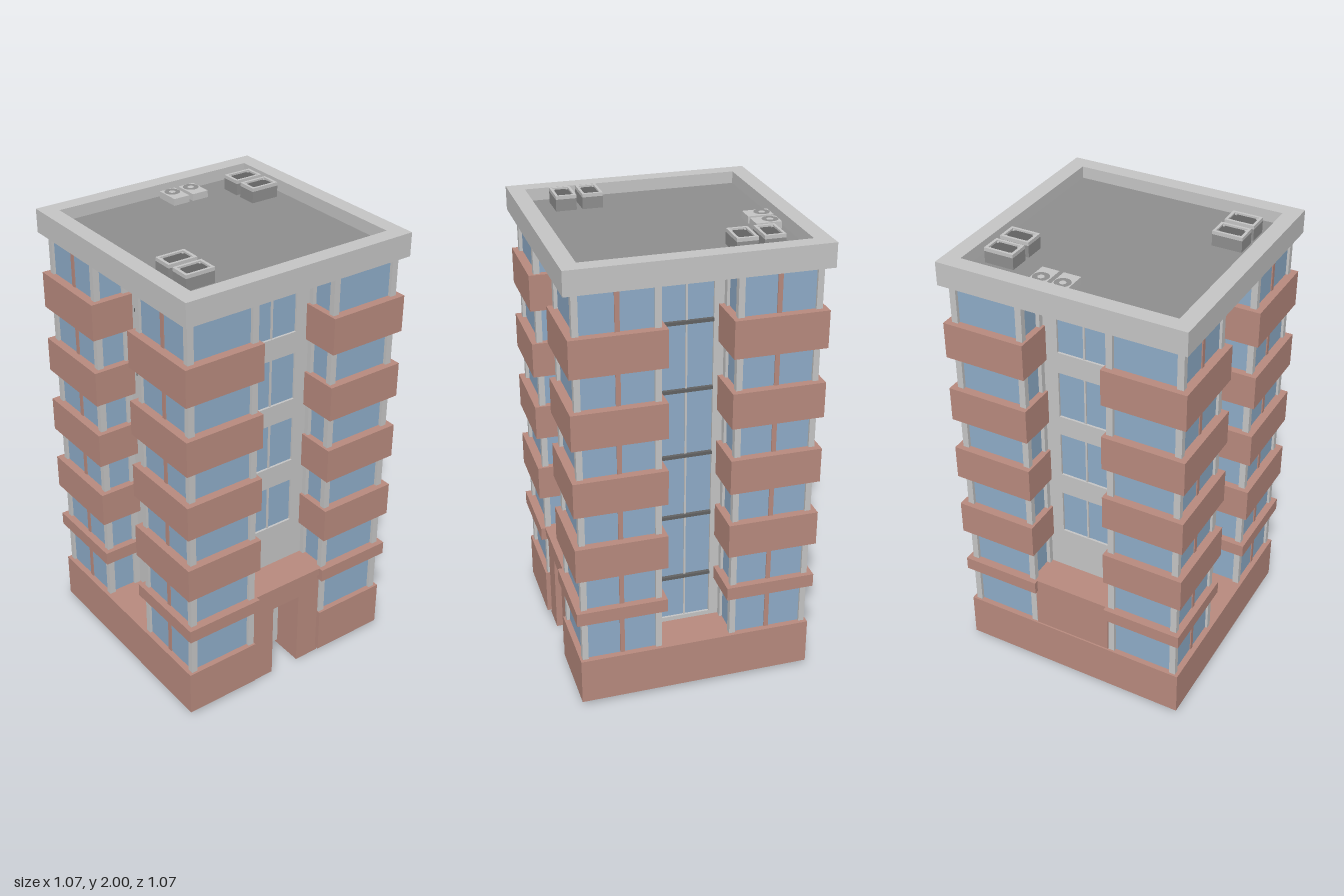
import * as THREE from 'three';

const mat = (name, color, side = THREE.FrontSide) => {
  const m = new THREE.MeshStandardMaterial({ color, side });
  m.name = name;
  return m;
};

export function createModel() {
  const concrete = mat('light concrete', 0xc6c6c6);
  const brick = mat('brick cladding', 0xb98b7f);
  const glass = mat('blue glass', 0x8fadc9, THREE.DoubleSide);
  const roofGrey = mat('roof grey', 0x8f8f8f);
  const dark = mat('dark metal', 0x636363);

  const model = new THREE.Group();
  model.name = 'apartmentBlock';
  const add = (name, geo, material, parent = model) => {
    const mesh = new THREE.Mesh(geo, material);
    mesh.name = name;
    parent.add(mesh);
    return mesh;
  };
  const group = (name) => {
    const g = new THREE.Group();
    g.name = name;
    model.add(g);
    return g;
  };
  // Box given by its limits, in any order
  const box = (name, x0, x1, y0, y1, z0, z1, material, parent) => {
    const geo = new THREE.BoxGeometry(Math.abs(x1 - x0), Math.abs(y1 - y0), Math.abs(z1 - z0));
    geo.translate((x0 + x1) / 2, (y0 + y1) / 2, (z0 + z1) / 2);
    return add(name, geo, material, parent);
  };
  const rect = (a0, a1, b0, b1, Type = THREE.Shape) =>
    new Type([[a0, b0], [a1, b0], [a1, b1], [a0, b1]].map(([a, b]) => new THREE.Vector2(a, b)));
  // Horizontal rectangular ring
  const ring = (name, outer, inner, y0, y1, material, parent) => {
    const shape = rect(...outer);
    shape.holes.push(rect(...inner, THREE.Path));
    const geo = new THREE.ExtrudeGeometry(shape, { depth: y1 - y0, bevelEnabled: false });
    geo.rotateX(Math.PI / 2).translate(0, y1, 0);
    return add(name, geo, material, parent);
  };

  // Corner towers: open glass shaft, posts and brick balcony bands
  const bands = [[0.42, 0.48], [0.64, 0.795], [0.945, 1.1], [1.245, 1.4], [1.55, 1.71]];
  const posts = [[0.495, 0.489], [0.197, 0.489], [0.495, 0.166], [0.197, 0.362], [0.362, 0.166]];
  for (const sx of [-1, 1]) for (const sz of [-1, 1]) {
    const tower = group('cornerTower');
    const limits = (x0, x1, z0, z1) => [sx * x0, sx * x1, sz * z0, sz * z1];
    ring('glassShaft', limits(0.2, 0.498, 0.165, 0.487), limits(0.204, 0.494, 0.169, 0.483),
      0.025, 1.89, glass, tower);
    for (const [x, z] of posts)
      box('post', sx * x - 0.014, sx * x + 0.014, 0.015, 1.89, sz * z - 0.013, sz * z + 0.013, concrete, tower);
    bands.forEach(([y0, y1], i) => {
      const out = i ? 0.535 : 0.53;
      ring('balconyBand', limits(0.172, out, 0.132, 0.525), limits(0.2, 0.494, 0.165, 0.483), y0, y1, brick, tower);
    });
  }

  // Full-width brick partitions that show as side mullions
  for (const s of [-1, 1]) box('partition', -0.503, 0.503, 0.025, 1.89, s * 0.315, s * 0.335, brick);

  // Recessed walls, built facing +z and turned into place
  const recess = (name, half, holes, distance, angle) => {
    const g = group(name);
    g.rotation.y = angle;
    const shape = rect(-half, half, 0.02, 1.89);
    for (const [w, y0, y1] of holes) {
      shape.holes.push(rect(-w, w, y0, y1, THREE.Path));
      box('windowGlass', -w, w, y0, y1, distance - 0.014, distance - 0.01, glass, g);
      box('windowMullion', -0.004, 0.004, y0, y1, distance - 0.012, distance - 0.004, concrete, g);
    }
    const geo = new THREE.ExtrudeGeometry(shape, { depth: 0.014, bevelEnabled: false });
    geo.translate(0, 0, distance - 0.014);
    add('recessWall', geo, concrete, g);
    return g;
  };
  const windows = [[0.68, 0.89], [0.99, 1.2], [1.29, 1.505], [1.6, 1.81]].map((w) => [0.12, ...w]);
  recess('frontRecess', 0.2, windows, 0.352, 0);
  recess('backRecess', 0.2, windows, 0.352, Math.PI);
  for (const s of [-1, 1]) {
    const g = recess('sideRecess', 0.17, [[0.112, 0.25, 1.845]], 0.345, s * Math.PI / 2);
    for (const y of [0.455, 0.76, 1.05, 1.35, 1.647])
      box('floorBar', -0.112, 0.112, y - 0.007, y + 0.007, 0.33, 0.35, dark, g);
  }
  box('coreWall', -0.01, 0.01, 0.025, 1.89, -0.3, 0.3, concrete);

  // Brick base: hollow walls with ledges in the side recesses
  const base = group('base');
  for (const s of [-1, 1]) {
    box('baseSide', s * 0.495, s * 0.525, 0.02, 0.23, -0.512, 0.512, brick, base);
    box('baseLedge', s * 0.34, s * 0.5, 0.21, 0.23, -0.17, 0.17, brick, base);
    box('baseFront', s * 0.18, s * 0.51, 0.02, 0.23, 0.485, 0.512, brick, base);
  }
  box('baseBack', -0.51, 0.51, 0.02, 0.23, -0.512, -0.485, brick, base);
  box('backPanel', -0.18, 0.18, 0.02, 0.45, -0.505, -0.48, brick, base);
  box('backPanelTop', -0.173, 0.173, 0.445, 0.48, -0.505, -0.345, brick, base);

  // Entrance porch
  const porch = group('entrancePorch');
  for (const s of [-1, 1]) box('porchPier', s * 0.07, s * 0.187, 0, 0.445, 0.33, 0.492, brick, porch);
  box('porchLintel', -0.07, 0.07, 0.36, 0.445, 0.345, 0.492, brick, porch);
  box('porchCanopy', -0.173, 0.173, 0.445, 0.48, 0.345, 0.505, brick, porch);

  // Roof: parapet ring around a sunken deck
  const roof = group('roof');
  const R = 0.537, I = 0.467;
  ring('parapet', [-R, R, -R, R], [-I, I, -I, I], 1.885, 1.987, concrete, roof);
  box('roofDeck', -I, I, 1.887, 1.935, -I, I, roofGrey, roof);

  // Louvred ventilation boxes
  for (const [x, z] of [[-0.357, 0.215], [-0.357, 0.328], [0.357, -0.328], [0.357, -0.215]]) {
    const v = group('roofVent');
    v.position.set(x, 0, z);
    box('ventBody', -0.065, 0.065, 1.93, 1.985, -0.044, 0.044, roofGrey, v);
    ring('ventRim', [-0.065, 0.065, -0.044, 0.044], [-0.053, 0.053, -0.033, 0.033], 1.985, 2, concrete, v);
    box('ventGrille', -0.053, 0.053, 1.985, 1.992, -0.033, 0.033, dark, v);
    for (const cx of [-1, 1]) for (const cz of [-1, 1])
      box('ventBolt', cx * 0.043, cx * 0.05, 1.992, 1.996, cz * 0.024, cz * 0.031, concrete, v);
  }

  // Cooling units with round fans
  for (const x of [0.047, 0.142]) {
    const u = group('coolingUnit');
    u.position.set(x, 0, -0.395);
    box('unitBody', -0.038, 0.038, 1.93, 1.965, -0.055, 0.055, concrete, u);
    const fan = new THREE.RingGeometry(0.014, 0.034, 24);
    fan.rotateX(-Math.PI / 2).translate(0, 1.967, -0.017);
    add('fanRing', fan, roofGrey, u);
  }
  return model;
}
